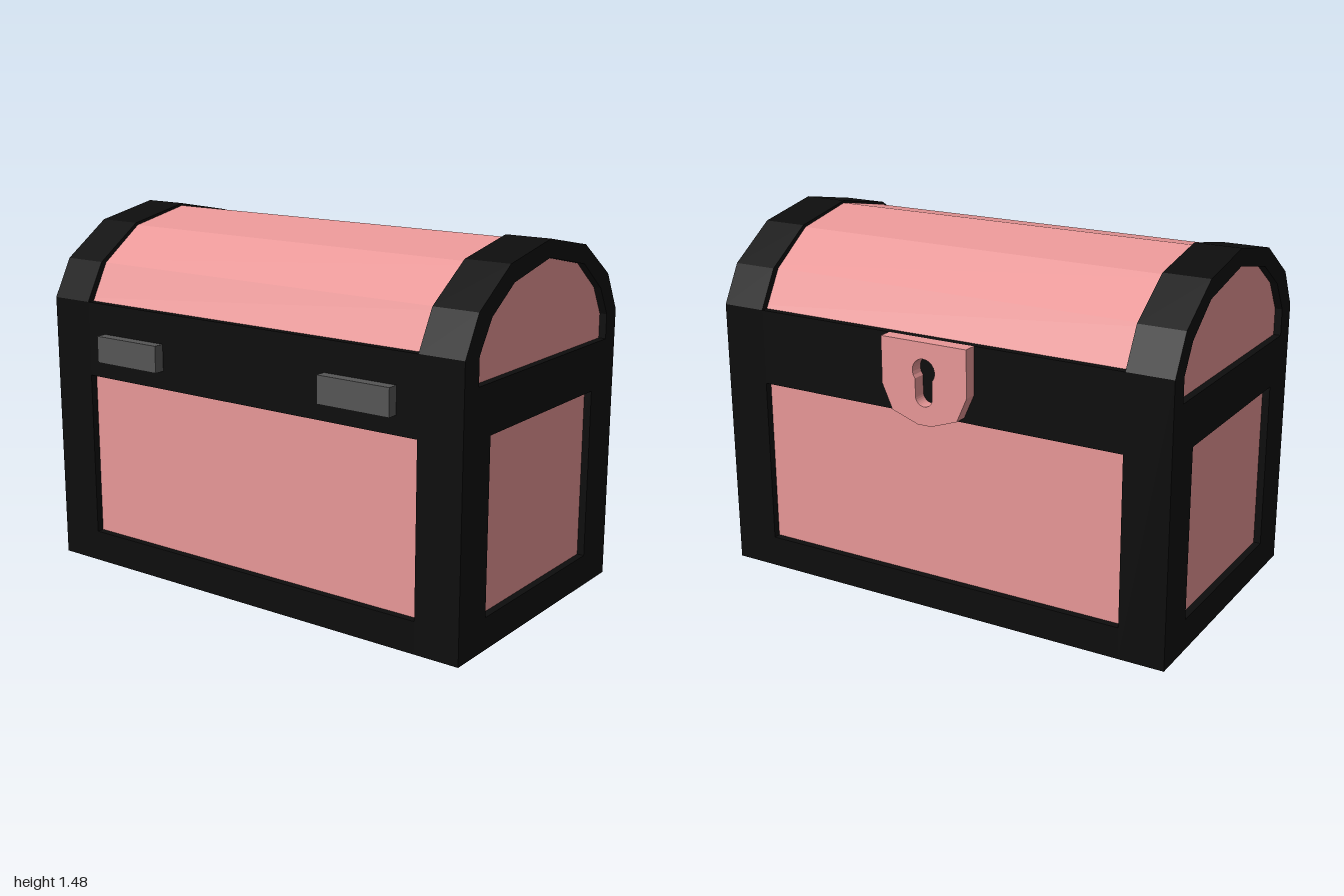
import * as THREE from 'three';

const wood = new THREE.MeshStandardMaterial({ color: 0xe89797, flatShading: true });
const iron = new THREE.MeshStandardMaterial({ color: 0x0d0d0d, flatShading: true });
const steel = new THREE.MeshStandardMaterial({ color: 0x555555, flatShading: true });

const toPoints = (list) => list.map(([x, y]) => new THREE.Vector2(x, y));

// Straight extrusion of a flat shape along z, starting at z0
function slab(shape, z0, depth) {
  const geo = new THREE.ExtrudeGeometry(shape, { depth, bevelEnabled: false, curveSegments: 8 });
  return geo.translate(0, 0, z0);
}

function box(x0, x1, y0, y1, z0, z1) {
  const geo = new THREE.BoxGeometry(x1 - x0, y1 - y0, z1 - z0);
  return geo.translate((x0 + x1) / 2, (y0 + y1) / 2, (z0 + z1) / 2);
}

export function createModel() {
  const chest = new THREE.Group();
  chest.name = 'treasureChest';
  const add = (name, geo, mat) => {
    const mesh = new THREE.Mesh(geo, mat);
    mesh.name = name;
    chest.add(mesh);
  };

  const left = -0.585, right = 0.575, postZ = 0.81;

  // Wooden body with a faceted lid, set back behind the frame
  const bodyProfile = new THREE.Shape(toPoints([
    [-0.555, 0.05], [0.545, 0.05], [0.545, 1.13], [0.46, 1.28], [0.27, 1.415],
    [0, 1.47], [-0.28, 1.415], [-0.475, 1.28], [-0.555, 1.13],
  ]));
  add('woodenBody', slab(bodyProfile, -0.97, 1.94), wood);

  // End frames: arched outline with a lower window and a lid window
  const endProfile = new THREE.Shape(toPoints([
    [left, 0], [right, 0], [right, 1.13], [0.49, 1.285], [0.285, 1.425],
    [0, 1.48], [-0.29, 1.425], [-0.5, 1.285], [left, 1.13],
  ]));
  endProfile.holes.push(
    new THREE.Path(toPoints([[-0.4, 0.13], [-0.4, 0.825], [0.39, 0.825], [0.39, 0.13]])),
    new THREE.Path(toPoints([
      [-0.49, 1.02], [-0.49, 1.13], [-0.41, 1.255], [-0.26, 1.355], [0, 1.41],
      [0.28, 1.35], [0.43, 1.235], [0.495, 1.12], [0.495, 1.02],
    ])),
  );
  add('frontEndFrame', slab(endProfile, postZ, 1 - postZ), iron);
  add('backEndFrame', slab(endProfile, -1, 1 - postZ), iron);

  // Long bands joining the end frames
  add('baseBand', box(left, right, 0, 0.13, -postZ, postZ), iron);
  add('rimBand', box(left, right, 0.82, 1.13, -postZ, postZ), iron);

  // Lock plate with a keyhole cut through it
  const plate = new THREE.Shape(toPoints([
    [-0.19, 1.13], [-0.19, 0.94], [-0.145, 0.84], [-0.03, 0.8],
    [0.03, 0.8], [0.145, 0.84], [0.19, 0.94], [0.19, 1.13],
  ]));
  const keyhole = new THREE.Path();
  const slot = 0.038, headY = 1.015, headR = 0.05;
  const neck = Math.asin(slot / headR);
  keyhole.absarc(0, headY, headR, -Math.PI / 2 + neck, Math.PI * 1.5 - neck, false);
  keyhole.absarc(0, 0.913, slot, Math.PI, Math.PI * 2, false);
  keyhole.closePath();
  plate.holes.push(keyhole);
  add('lockPlate', slab(plate, right, 0.055).rotateY(Math.PI / 2), wood);

  // Hinges on the opposite side
  for (const side of [-1, 1]) {
    const hinge = box(-0.63, left, 0.895, 1.005, -0.16, 0.16).translate(0, 0, side * 0.56);
    add(side > 0 ? 'frontHinge' : 'backHinge', hinge, steel);
  }
  return chest;
}
